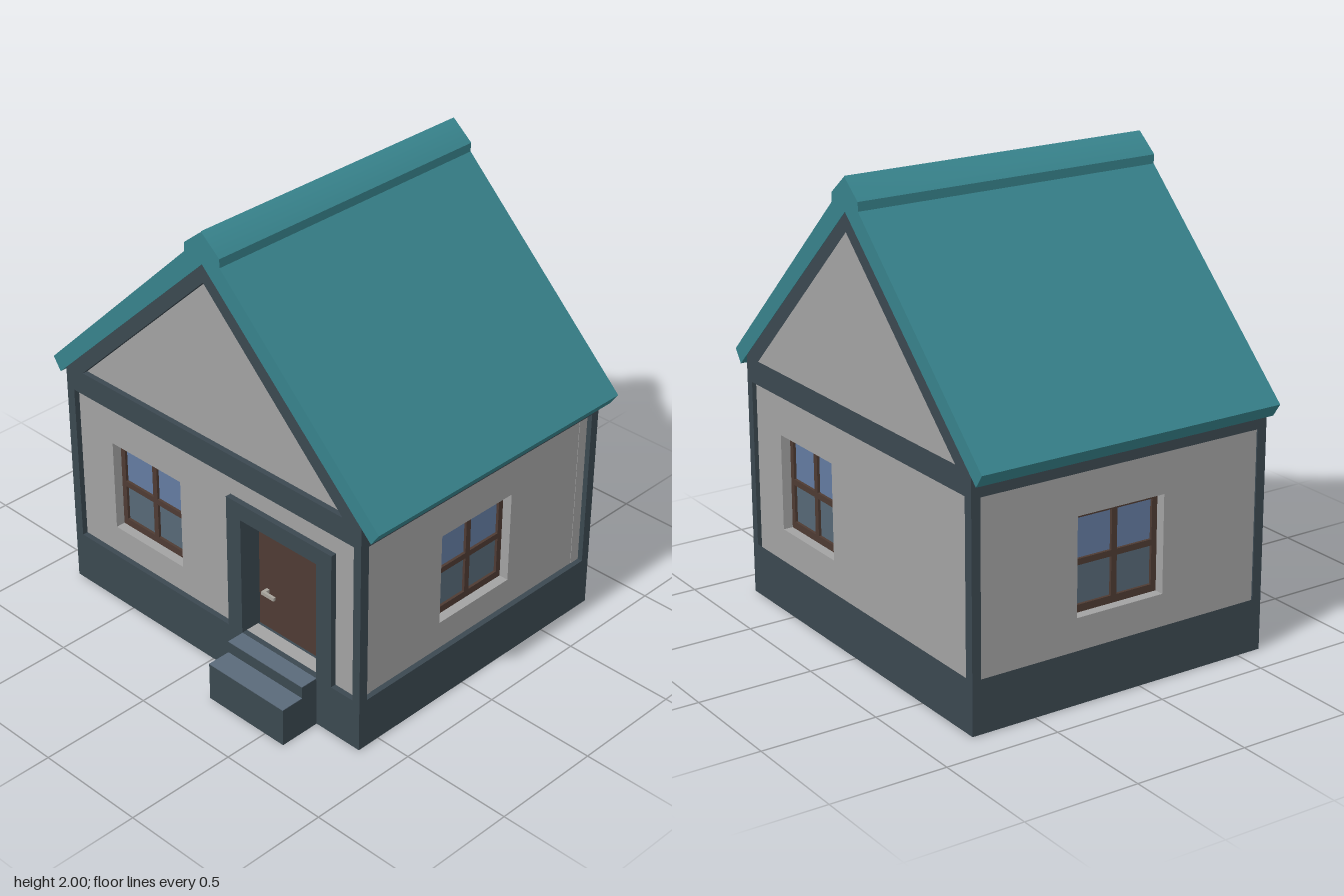
import * as THREE from 'three';

const mat = (name, color, extra = {}) => {
  const m = new THREE.MeshStandardMaterial({ color, ...extra });
  m.name = name;
  return m;
};

export function createModel() {
  const house = new THREE.Group();
  house.name = 'house';
  const M = {
    roof: mat('teal roof', 0x37828b),
    frame: mat('slate timber', 0x3b4850),
    wall: mat('grey plaster', 0xa2a2a2),
    wood: mat('dark brown wood', 0x4e3b33),
    skyGlass: mat('upper glass', 0x637ba0),
    lowGlass: mat('lower glass', 0x566876),
    tread: mat('step stone', 0x5a6a7a),
    metal: mat('handle metal', 0xa8a49c),
  };

  const add = (parent, name, geometry, material) => {
    const mesh = new THREE.Mesh(geometry, material);
    mesh.name = name;
    parent.add(mesh);
    return mesh;
  };
  const box = (parent, name, material, x0, x1, y0, y1, z0, z1) => {
    const g = new THREE.BoxGeometry(x1 - x0, y1 - y0, z1 - z0);
    g.translate((x0 + x1) / 2, (y0 + y1) / 2, (z0 + z1) / 2);
    return add(parent, name, g, material);
  };
  const points = (pts) => pts.map(([x, y]) => new THREE.Vector2(x, y));
  const rect = (x0, x1, y0, y1) => [[x0, y0], [x1, y0], [x1, y1], [x0, y1]];
  const mirror = (pts, s) => pts.map(([x, y]) => [x * s, y]);
  // Flat outline with holes, filled between depths z0 and z1
  const slab = (outline, holes, z0, z1) => {
    const shape = new THREE.Shape(points(outline));
    holes.forEach((h) => shape.holes.push(new THREE.Path(points(h))));
    const g = new THREE.ExtrudeGeometry(shape, { depth: z1 - z0, bevelEnabled: false });
    return g.translate(0, 0, z0);
  };

  // Each facade is built facing +z with its outer face at z = 0
  const facade = (name, x, z, turn) => {
    const g = new THREE.Group();
    g.name = name;
    g.position.set(x, 0, z);
    g.rotation.y = turn;
    house.add(g);
    return g;
  };

  // Four-pane window, recessed into its wall opening
  const WY0 = 0.355, WY1 = 0.775, HALF = 0.207;
  const opening = (cx) => rect(cx - HALF, cx + HALF, WY0, WY1);
  const addWindow = (parent, cx) => {
    const g = new THREE.Group();
    g.name = 'window';
    parent.add(g);
    const panes = [];
    for (const [a, b] of [[-0.182, -0.013], [0.013, 0.182]])
      for (const [c, d] of [[0.387, 0.552], [0.578, 0.748]])
        panes.push(rect(cx + a, cx + b, c, d));
    add(g, 'windowFrame', slab(opening(cx), panes, -0.095, -0.068), M.wood);
    box(g, 'lowerPanes', M.lowGlass, cx - 0.19, cx + 0.19, 0.37, 0.565, -0.088, -0.08);
    box(g, 'upperPanes', M.skyGlass, cx - 0.19, cx + 0.19, 0.565, 0.76, -0.088, -0.08);
  };

  // Gable ends: timber frame, plaster wall, window
  const gable = (name, z, turn, s, extraHoles) => {
    const g = facade(name, 0, z, turn);
    const outline = [[-0.855, 0.002], [0.838, 0.002], [0.838, 1.067], [0, 1.86], [-0.855, 1.055]];
    const panel = rect(-0.812, 0.8, 0.23, 0.96);
    const triangle = [[-0.75, 1.065], [0.74, 1.065], [0, 1.78]];
    add(g, 'timberFrame',
      slab(mirror(outline, s), [mirror(panel, s), mirror(triangle, s)], -0.027, 0), M.frame);
    const wall = [[-0.83, 0.2], [0.815, 0.2], [0.815, 1.04], [0, 1.83], [-0.83, 1.04]];
    add(g, 'plasterWall',
      slab(mirror(wall, s), [opening(-0.405), ...extraHoles], -0.088, -0.025), M.wall);
    addWindow(g, -0.405);
    return g;
  };
  const front = gable('frontFacade', 0.61, 0, 1, [rect(0.14, 0.64, 0.232, 0.82)]);
  gable('backFacade', -0.79, Math.PI, -1, []);

  // Long side walls
  for (const [name, x, s] of [['leftFacade', 0.838, 1], ['rightFacade', -0.855, -1]]) {
    const g = facade(name, x, 0, s * Math.PI / 2);
    const c = s * 0.083;
    add(g, 'timberFrame', slab(mirror(rect(-0.61, 0.79, 0.002, 1.055), s),
      [mirror(rect(-0.567, 0.75, 0.23, 0.96), s)], -0.027, 0), M.frame);
    add(g, 'plasterWall',
      slab(mirror(rect(-0.585, 0.765, 0.2, 1.03), s), [opening(c)], -0.088, -0.025), M.wall);
    addWindow(g, c);
  }

  // Door with deep surround, threshold and handle
  const surround = [[0.1, 0.22], [0.18, 0.22], [0.18, 0.783], [0.602, 0.783],
    [0.602, 0.22], [0.683, 0.22], [0.683, 0.86], [0.1, 0.86]];
  add(front, 'doorSurround', slab(surround, [], -0.13, 0.001), M.frame);
  box(front, 'door', M.wood, 0.17, 0.612, 0.22, 0.79, -0.13, -0.1);
  box(front, 'threshold', M.frame, 0.18, 0.602, 0.2, 0.231, -0.13, -0.001);
  box(front, 'doorHandle', M.metal, 0.222, 0.292, 0.408, 0.424, -0.08, -0.068);
  box(front, 'handlePost', M.metal, 0.222, 0.238, 0.408, 0.424, -0.1, -0.07);

  // Front steps with stone treads
  for (const [top, z1] of [[0.23, 0.69], [0.175, 0.797]]) {
    box(house, 'step', M.frame, 0.18, 0.602, 0, top - 0.003, 0.6, z1);
    box(house, 'stepTread', M.tread, 0.18, 0.602, top - 0.003, top, 0.6, z1);
  }

  // Floor underside
  const floor = new THREE.PlaneGeometry(1.693, 1.4).rotateX(Math.PI / 2);
  add(house, 'floor', floor.translate(-0.0085, 0, -0.09), M.wood);

  // Roof slopes and raised ridge
  const Z0 = -0.792, Z1 = 0.613;
  const half = [[0.89, 1.018], [0.93, 1.075], [0.097, 1.88], [0.097, 1.918]];
  const roofOutline = [[0, 1.86], ...half, [0, 1.997], ...mirror(half, -1).reverse()];
  add(house, 'roof', slab(roofOutline, [], Z0, Z1), M.roof);

  // Softly shaded ridge cap: one strip with shared vertices across the peak
  const cap = new THREE.BufferGeometry();
  const verts = [[-0.098, 1.92], [0, 2], [0.098, 1.92]]
    .flatMap(([x, y]) => [x, y, Z1, x, y, Z0]);
  cap.setAttribute('position', new THREE.Float32BufferAttribute(verts, 3));
  cap.setIndex([0, 2, 1, 1, 2, 3, 2, 4, 3, 3, 4, 5]);
  cap.computeVertexNormals();
  add(house, 'ridgeCap', cap, M.roof);

  return house;
}
